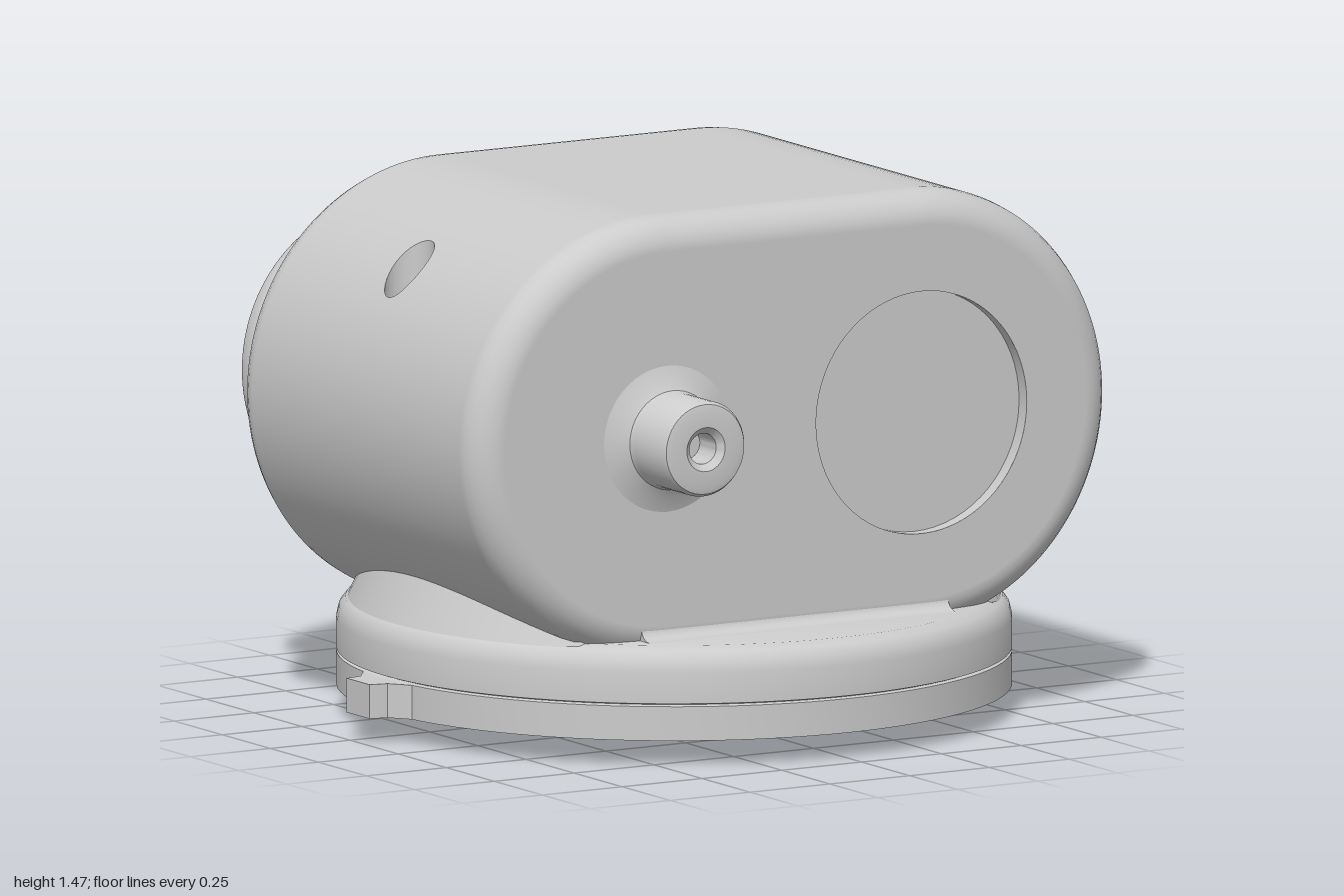
import * as THREE from 'three';
import { toCreasedNormals } from 'three/addons/utils/BufferGeometryUtils.js';

const R = 0.6, CX = 0.4, CY = 0.865;      // housing end radius, end centres, axis height
const BEVEL = 0.09, HALF = 0.5375;        // housing edge rounding, half length of straight wall
const ZC = 0.0275;                        // housing and base centre in z
const DRILL = { x: 0.83, r: 0.067, floor: 1.1, from: 25, to: 60 };
const STEP = 2.5;
const rad = THREE.MathUtils.degToRad;
const grey = new THREE.MeshStandardMaterial({ color: 0xcccccc });
const thin = new THREE.MeshStandardMaterial({ color: 0xcccccc, side: THREE.DoubleSide });

function add(parent, name, geometry, x = 0, y = 0, z = 0, material = grey) {
  const mesh = new THREE.Mesh(geometry, material);
  mesh.name = name;
  mesh.position.set(x, y, z);
  parent.add(mesh);
  return mesh;
}

function lathe(points, segments = 48) {
  const g = new THREE.LatheGeometry(points.map(p => new THREE.Vector2(...p)), segments);
  return toCreasedNormals(g, rad(35));
}
const latheZ = (points, segments) => lathe(points, segments).rotateX(Math.PI / 2);

function extrude(shape, depth, bevel = 0) {
  const g = new THREE.ExtrudeGeometry(shape, {
    depth: depth - 2 * bevel, curveSegments: 32, bevelEnabled: bevel > 0,
    bevelThickness: bevel, bevelSize: bevel, bevelOffset: -bevel, bevelSegments: 3,
  });
  return toCreasedNormals(g.translate(0, 0, bevel), rad(35));
}

const polygon = pts => new THREE.Shape(pts.map(p => new THREE.Vector2(...p)));

function stadium(r) {
  const s = new THREE.Shape();
  s.absarc(CX, 0, r, -Math.PI / 2, Math.PI / 2, false);
  s.absarc(-CX, 0, r, Math.PI / 2, Math.PI * 1.5, false);
  return s;
}

function buffer(positions, normals, indices) {
  const g = new THREE.BufferGeometry();
  g.setAttribute('position', new THREE.Float32BufferAttribute(positions, 3));
  g.setAttribute('normal', new THREE.Float32BufferAttribute(normals, 3));
  g.setIndex(indices);
  return g;
}

// Rounded stadium sweep, leaving a window in each shoulder for the drilled patches
function shellGeometry() {
  const pos = [], nor = [], idx = [], rings = [], angles = [];
  for (let a = 90; a >= 0; a -= 15) rings.push([rad(a), HALF]);
  for (let a = 0; a >= -90; a -= 15) rings.push([rad(a), -HALF]);
  for (let t = -90; t <= 90; t += STEP) angles.push([t, CX]);
  for (let t = 90; t <= 270; t += STEP) angles.push([t, -CX]);
  const n = angles.length;
  for (const [p, z] of rings) {
    const r = R - BEVEL * (1 - Math.cos(p));
    for (const [deg, cx] of angles) {
      const c = Math.cos(rad(deg)), s = Math.sin(rad(deg));
      pos.push(cx + r * c, r * s, z + BEVEL * Math.sin(p));
      nor.push(c * Math.cos(p), s * Math.cos(p), Math.sin(p));
    }
  }
  const { from, to } = DRILL;
  for (let i = 0; i < rings.length - 1; i++) {
    for (let j = 0; j < n; j++) {
      const t = angles[j][0], wall = i === 6;
      if (wall && ((t >= from && t < to) || (t >= 180 - to && t < 180 - from))) continue;
      const k = (j + 1) % n, a = i * n + j, b = a + n, c = (i + 1) * n + k, d = i * n + k;
      idx.push(a, b, c, a, c, d);
    }
  }
  return buffer(pos, nor, idx);
}

const shoulderY = x => Math.sqrt(R * R - (x - CX) ** 2);

// Shoulder patch blending from the round drill hole out to the window border
function patchGeometry() {
  const pos = [], nor = [], idx = [], edge = [], rows = 6, m = (DRILL.to - DRILL.from) / STEP;
  for (let i = 0; i < m; i++) edge.push([1, -1 + 2 * i / m]);
  for (let i = 0; i < m; i++) edge.push([1 - 2 * i / m, 1]);
  for (let i = 0; i < m; i++) edge.push([-1, 1 - 2 * i / m]);
  for (let i = 0; i < m; i++) edge.push([-1 + 2 * i / m, -1]);
  const n = edge.length, mid = (DRILL.from + DRILL.to) / 2, span = (DRILL.to - DRILL.from) / 2;
  for (let k = 0; k <= rows; k++) {
    for (const [u, v] of edge) {
      const a = Math.atan2(v, u), f = (k / rows) ** 1.5;
      const x = THREE.MathUtils.lerp(DRILL.x + DRILL.r * Math.cos(a), CX + R * Math.cos(rad(mid - u * span)), f);
      const z = THREE.MathUtils.lerp(DRILL.r * Math.sin(a), v * HALF, f);
      pos.push(x, shoulderY(x), z);
      nor.push((x - CX) / R, shoulderY(x) / R, 0);
    }
  }
  for (let k = 0; k < rows; k++) {
    for (let j = 0; j < n; j++) {
      const a = k * n + j, d = k * n + (j + 1) % n;
      idx.push(a, d, d + n, a, d + n, a + n);
    }
  }
  return buffer(pos, nor, idx);
}

// Cross-head screw standing on z = 0 and facing +z
function screw(name, r, h) {
  const g = new THREE.Group(), w = r * 0.16, l = r * 0.65;
  g.name = name;
  const head = new THREE.Shape().absarc(0, 0, r, 0, Math.PI * 2, false);
  head.holes.push(polygon([[w, w], [w, l], [-w, l], [-w, w], [-l, w], [-l, -w],
    [-w, -w], [-w, -l], [w, -l], [w, -w], [l, -w], [l, w]]));
  add(g, 'screwHead', extrude(head, h, r * 0.12));
  add(g, 'screwSlotFloor', new THREE.CircleGeometry(r * 0.8, 24), 0, 0, h * 0.25);
  return g;
}

function housing() {
  const g = new THREE.Group();
  g.name = 'housing';
  g.position.set(0, CY, ZC);
  add(g, 'housingShell', shellGeometry());
  const end = HALF + BEVEL;
  // End faces, each with a round recess
  for (const [name, r, depth, back] of [['lensRecess', 0.33, 0.04, 0], ['rearRecess', 0.24, 0.03, 1]]) {
    const face = stadium(R - BEVEL), x = back ? -0.4 : 0.395;
    face.holes.push(new THREE.Path().absarc(x, 0, r, 0, Math.PI * 2, true));
    const half = new THREE.Group();
    half.name = back ? 'rearEnd' : 'frontEnd';
    half.rotation.y = back * Math.PI;
    add(half, 'endFace', new THREE.ShapeGeometry(face, 36), 0, 0, end);
    add(half, name, latheZ([[r, 0], [r, -depth], [0, -depth]], 64), x, 0, end);
    g.add(half);
  }
  // Drilled shoulders with sunk screws
  for (let i = 0; i < 2; i++) {
    const side = new THREE.Group();
    side.name = i ? 'rightShoulder' : 'leftShoulder';
    side.rotation.y = i * Math.PI;
    add(side, 'shoulderPatch', patchGeometry());
    const bore = new THREE.CylinderGeometry(DRILL.r, DRILL.r, 1, 56, 1, true);
    const p = bore.attributes.position, floor = DRILL.floor - CY;
    for (let k = 0; k < p.count; k++) p.setY(k, p.getY(k) > 0 ? shoulderY(p.getX(k) + DRILL.x) : floor);
    add(side, 'screwBore', bore, DRILL.x, 0, 0, thin);
    add(side, 'boreFloor', new THREE.CircleGeometry(DRILL.r, 32).rotateX(-Math.PI / 2), DRILL.x, floor);
    const s = screw('shoulderScrew', 0.058, 0.05);
    s.rotation.x = -Math.PI / 2;
    s.position.set(DRILL.x, floor, 0);
    side.add(s);
    g.add(side);
  }
  return g;
}

function base() {
  const g = new THREE.Group();
  g.name = 'base';
  g.position.z = ZC - 0.002;
  add(g, 'baseDisc', lathe([[0, 0.15], [0.13, 0.15], [0.13, 0.07], [0.33, 0.07], [0.33, 0.17], [0.53, 0.17],
    [0.53, 0.07], [0.907, 0.07], [0.907, 0.163], [0.895, 0.167], [0.907, 0.171], [0.907, 0.255],
    [0.9, 0.285], [0.882, 0.308], [0.85, 0.32], [0, 0.32]], 96));
  // Sloping skirt blending the disc into the housing sides
  const skirt = new THREE.CylinderGeometry(0.81, 0.905, 0.2, 96, 1, true), p = skirt.attributes.position;
  for (let i = 0; i < p.count; i++) p.setZ(i, THREE.MathUtils.clamp(p.getZ(i), -0.58, 0.58));
  add(g, 'baseSkirt', skirt, 0, 0.35);
  // Concave fillets in front of and behind the housing
  for (const s of [1, -1]) {
    const f = new THREE.Shape().moveTo(-0.03, -0.03).lineTo(0.05, -0.03).lineTo(0.05, 0);
    f.quadraticCurveTo(0, 0, 0, 0.05).lineTo(-0.03, 0.05);
    const fillet = add(g, 'baseFillet', extrude(f, 0.96).translate(0, 0, -0.48), 0, 0.32, s * 0.624);
    fillet.rotation.y = -s * Math.PI / 2;
  }
  // Locating tab
  add(g, 'locatingTab', extrude(polygon([[-0.86, -0.15], [-0.895, -0.13], [-0.94, -0.07], [-0.99, -0.06],
    [-0.99, 0.06], [-0.94, 0.07], [-0.895, 0.13], [-0.86, 0.15]]), 0.093).rotateX(Math.PI / 2), 0, 0.163);
  // Contact pins and underside screws
  for (let i = 0; i < 8; i++) {
    const a = i * Math.PI / 4, b = a + rad(5);
    add(g, 'contactPin', lathe([[0, 0], [0.026, 0], [0.031, 0.006], [0.031, 0.08]], 20),
      0.265 * Math.cos(a), 0, 0.265 * Math.sin(a));
    const s = screw('baseScrew', 0.06, 0.015);
    s.rotation.x = Math.PI / 2;
    s.position.set(0.765 * Math.cos(b), 0.074, 0.765 * Math.sin(b));
    g.add(s);
  }
  return g;
}

function rearPlate() {
  const g = new THREE.Group();
  g.name = 'rearBracket';
  add(g, 'rearPlate', extrude(stadium(0.425), 0.06, 0.018), 0, CY, -0.866);
  // Upper and lower arms flaring into the plate
  for (const top of [CY + 0.42, CY - 0.36]) {
    add(g, 'plateArm', extrude(polygon([[-0.13, -0.58], [0.13, -0.58], [0.13, -0.76], [0.14, -0.79], [0.165, -0.812],
      [-0.165, -0.812], [-0.14, -0.79], [-0.13, -0.76]]), 0.06).rotateX(Math.PI / 2), 0, top);
  }
  const s = screw('plateScrew', 0.09, 0.068);
  s.rotation.y = Math.PI;
  s.position.set(-0.4, CY, -0.862);
  g.add(s);
  // Shaft stub and stepped hub between plate and housing
  add(g, 'rearShaft', latheZ([[0.205, 0], [0.15, 0.013], [0.13, 0.025], [0.13, 0.22]]), -0.4, CY, -0.6).rotation.y = Math.PI;
  add(g, 'rearHub', latheZ([[0.13, -0.03], [0.13, 0.065], [0.07, 0.065], [0.07, 0.1], [0.13, 0.1], [0.13, 0.21]]),
    0.4, CY, -0.6).rotation.y = Math.PI;
  for (let i = 0; i < 8; i++) {
    const a = (i + 0.5) * Math.PI / 4;
    add(g, 'hubBolt', latheZ([[0.02, 0], [0.02, 0.02], [0.012, 0.026], [0, 0.026]], 16),
      0.4 + 0.19 * Math.cos(a), CY + 0.19 * Math.sin(a), -0.57).rotation.y = Math.PI;
  }
  return g;
}

export function createModel() {
  const model = new THREE.Group();
  model.name = 'mountedHousing';
  model.add(housing(), base(), rearPlate());
  // Front shaft peg with a flared foot and a centre hole
  add(model, 'frontPeg', latheZ([[0.205, 0], [0.16, 0.015], [0.135, 0.03], [0.13, 0.045], [0.13, 0.185], [0.122, 0.198],
    [0.105, 0.202], [0.06, 0.202], [0.042, 0.185], [0.042, 0.1], [0, 0.1]]), -0.4, CY, 0.653);
  return model;
}
